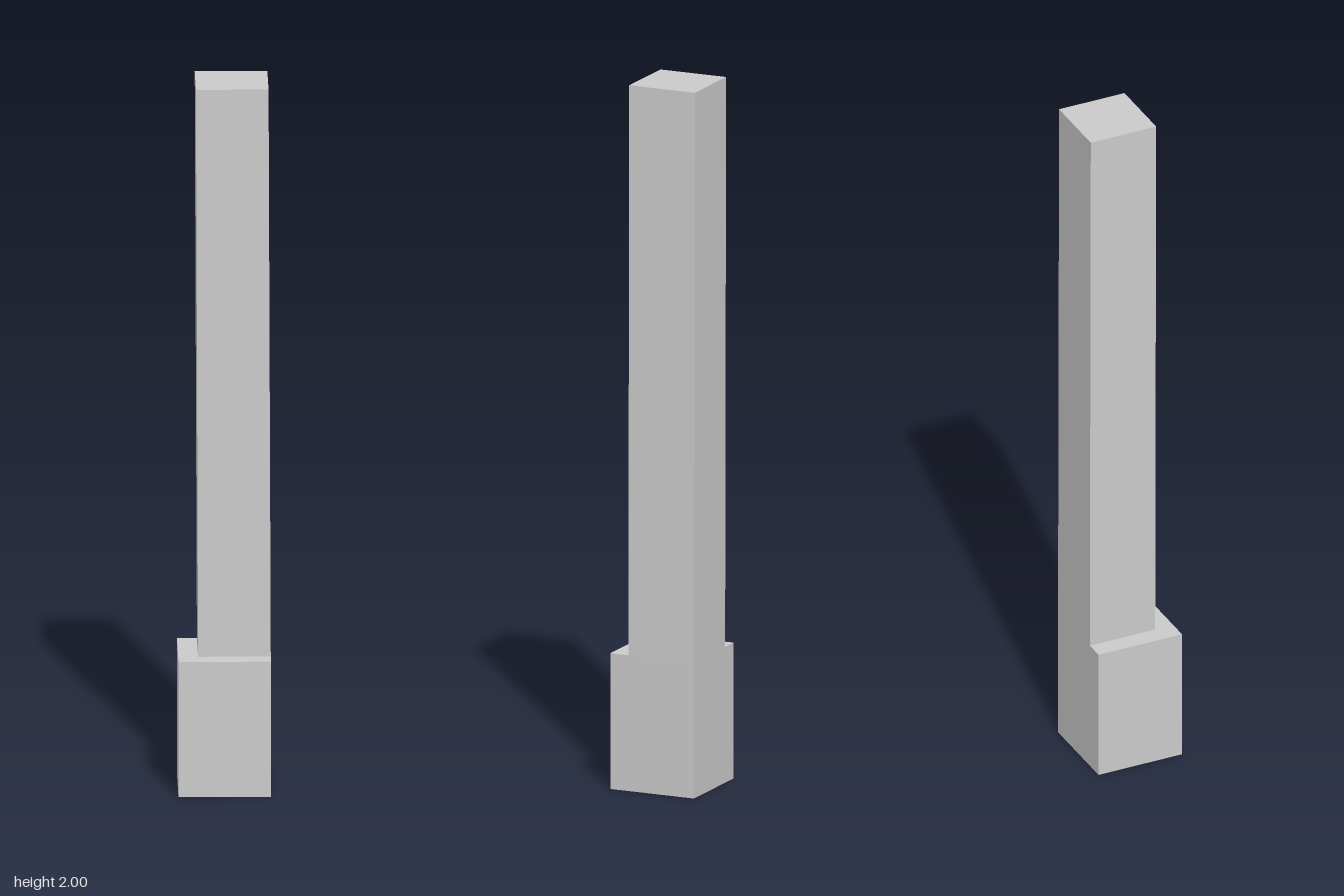
import * as THREE from 'three';

const BASE_SIZE = 0.255;
const BASE_HEIGHT = 0.385;
const SHAFT_SIZE = 0.2;
const SHAFT_HEIGHT = 2 - BASE_HEIGHT;
const LEAN = -0.006; // sideways drift of the shaft from bottom to top

export function createModel() {
  const group = new THREE.Group();
  group.name = 'post';
  const material = new THREE.MeshStandardMaterial({ color: 0xcccccc, flatShading: true });

  const addPart = (name, geometry) => {
    const mesh = new THREE.Mesh(geometry, material);
    mesh.name = name;
    group.add(mesh);
  };

  // Square foot block
  const base = new THREE.BoxGeometry(BASE_SIZE, BASE_HEIGHT, BASE_SIZE);
  base.translate(0, BASE_HEIGHT / 2, 0);
  addPart('base', base);

  // Tall shaft, flush with the back left corner of the base and leaning very slightly
  const shaft = new THREE.BoxGeometry(SHAFT_SIZE, SHAFT_HEIGHT, SHAFT_SIZE);
  const offset = (BASE_SIZE - SHAFT_SIZE) / 2;
  shaft.translate(offset, BASE_HEIGHT + SHAFT_HEIGHT / 2, -offset);
  const pos = shaft.attributes.position;
  for (let i = 0; i < pos.count; i++) {
    const t = (pos.getY(i) - BASE_HEIGHT) / SHAFT_HEIGHT;
    pos.setX(i, pos.getX(i) + LEAN * t);
  }
  shaft.computeVertexNormals();
  addPart('shaft', shaft);

  return group;
}
